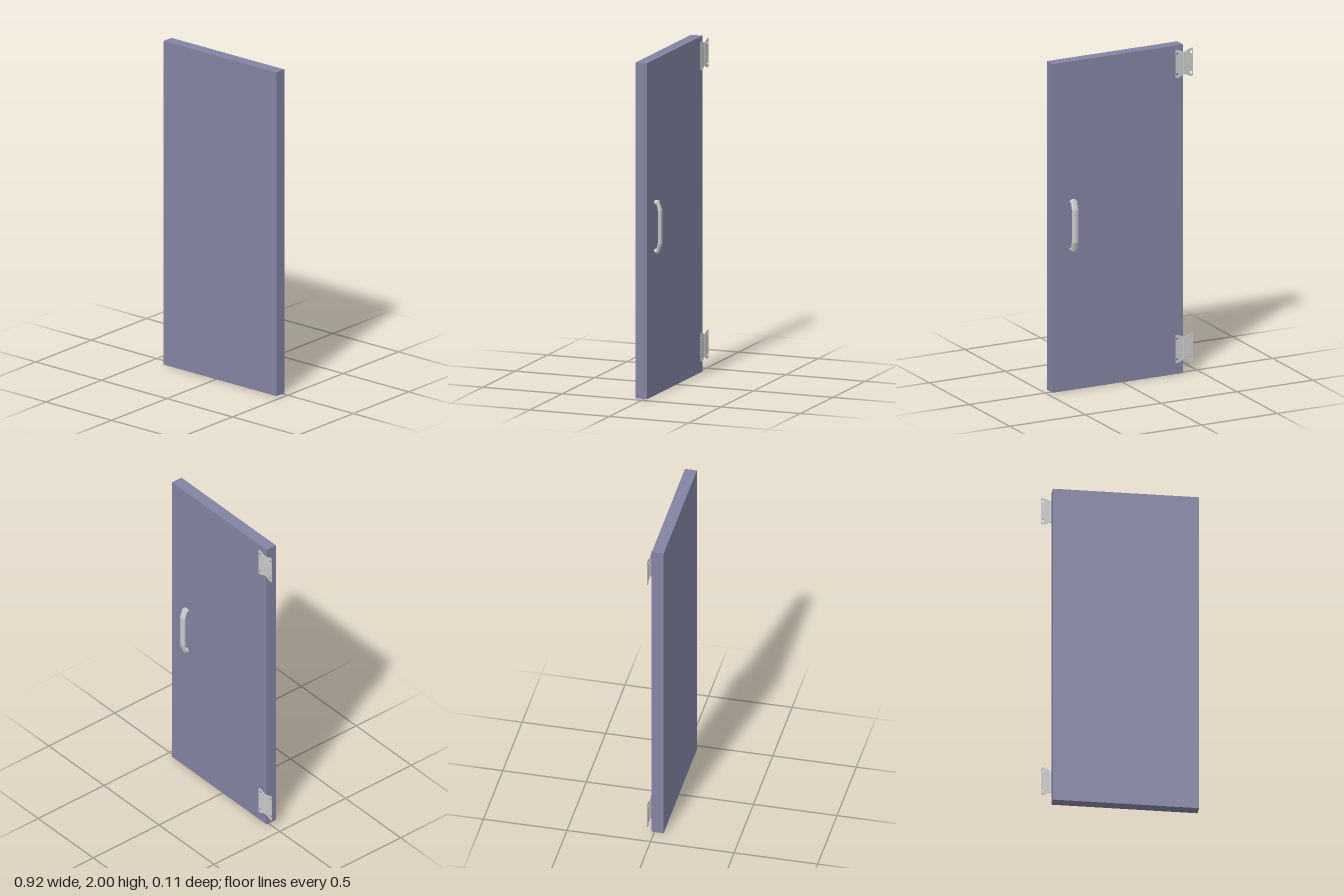
import * as THREE from 'three';

const metal = new THREE.MeshStandardMaterial({ color: 0xcccccc, flatShading: true, side: THREE.DoubleSide });
const paint = new THREE.MeshStandardMaterial({ color: 0x8383a3 });

function addMesh(parent, name, geometry, material) {
  const mesh = new THREE.Mesh(geometry, material);
  mesh.name = name;
  parent.add(mesh);
  return mesh;
}

// Hinge leaf reaching towards +x from the pin, with tapered inner edge and two screw holes
function leafGeometry() {
  const shape = new THREE.Shape([
    [0.003, -0.068], [0.038, -0.085], [0.058, -0.085],
    [0.058, 0.085], [0.038, 0.085], [0.003, 0.068],
  ].map(([x, y]) => new THREE.Vector2(x, y)));
  for (const y of [-0.062, 0.062]) {
    const hole = new THREE.Path();
    hole.absarc(0.046, y, 0.008, 0, Math.PI * 2, true);
    shape.holes.push(hole);
  }
  const geometry = new THREE.ExtrudeGeometry(shape, { depth: 0.003, bevelEnabled: false, curveSegments: 8 });
  return geometry.translate(0, 0, -0.0015);
}

function createHinge(y) {
  const hinge = new THREE.Group();
  hinge.name = 'hinge';
  hinge.position.set(-0.402, y, -0.028);
  addMesh(hinge, 'doorLeaf', leafGeometry(), metal);
  addMesh(hinge, 'frameLeaf', leafGeometry(), metal).rotation.y = Math.PI;
  addMesh(hinge, 'hingePin', new THREE.CylinderGeometry(0.005, 0.005, 0.138, 12), metal);
  return hinge;
}

// Pull handle: a chamfered section swept through stations of outer and inner edges
function handleGeometry() {
  // [outer y, outer z, inner y, inner z], y measured from the handle's middle
  const upper = [
    [0.157, -0.016, 0.132, -0.016],
    [0.157, -0.036, 0.132, -0.027],
    [0.1, -0.056, 0.094, -0.036],
  ];
  const lower = upper.map(([a, b, c, d]) => [-a, b, -c, d]).reverse();
  const stations = [...upper, ...lower];
  // Section corners: [sideways, inner-to-outer fraction]
  const section = [[-0.01, 0], [-0.02, 0.35], [-0.02, 0.65], [-0.01, 1], [0.01, 1], [0.02, 0.65], [0.02, 0.35], [0.01, 0]];
  const positions = [];
  const index = [];
  const n = section.length;
  stations.forEach(([oy, oz, iy, iz], s) => {
    section.forEach(([x, t], k) => {
      positions.push(x, iy + (oy - iy) * t, iz + (oz - iz) * t);
      if (s === stations.length - 1) return;
      const a = s * n + k, b = s * n + (k + 1) % n;
      index.push(a, b, a + n, b, b + n, a + n);
    });
  });
  // End caps against the door
  const last = (stations.length - 1) * n;
  for (let k = 1; k < n - 1; k++) {
    index.push(0, k + 1, k, last, last + k, last + k + 1);
  }
  const geometry = new THREE.BufferGeometry();
  geometry.setAttribute('position', new THREE.Float32BufferAttribute(positions, 3));
  geometry.setIndex(index);
  const flat = geometry.toNonIndexed();
  flat.computeVertexNormals();
  return flat;
}

export function createModel() {
  const model = new THREE.Group();
  model.name = 'door';

  // Door panel
  const panel = addMesh(model, 'doorPanel', new THREE.BoxGeometry(0.86, 2, 0.071), paint);
  panel.position.set(0.03, 1, 0.0195);

  // Hinges near the top and bottom
  for (const y of [0.155, 1.89]) model.add(createHinge(y));

  // Handle on the back
  addMesh(model, 'handle', handleGeometry(), metal).position.set(0.327, 1.003, 0);

  return model;
}
